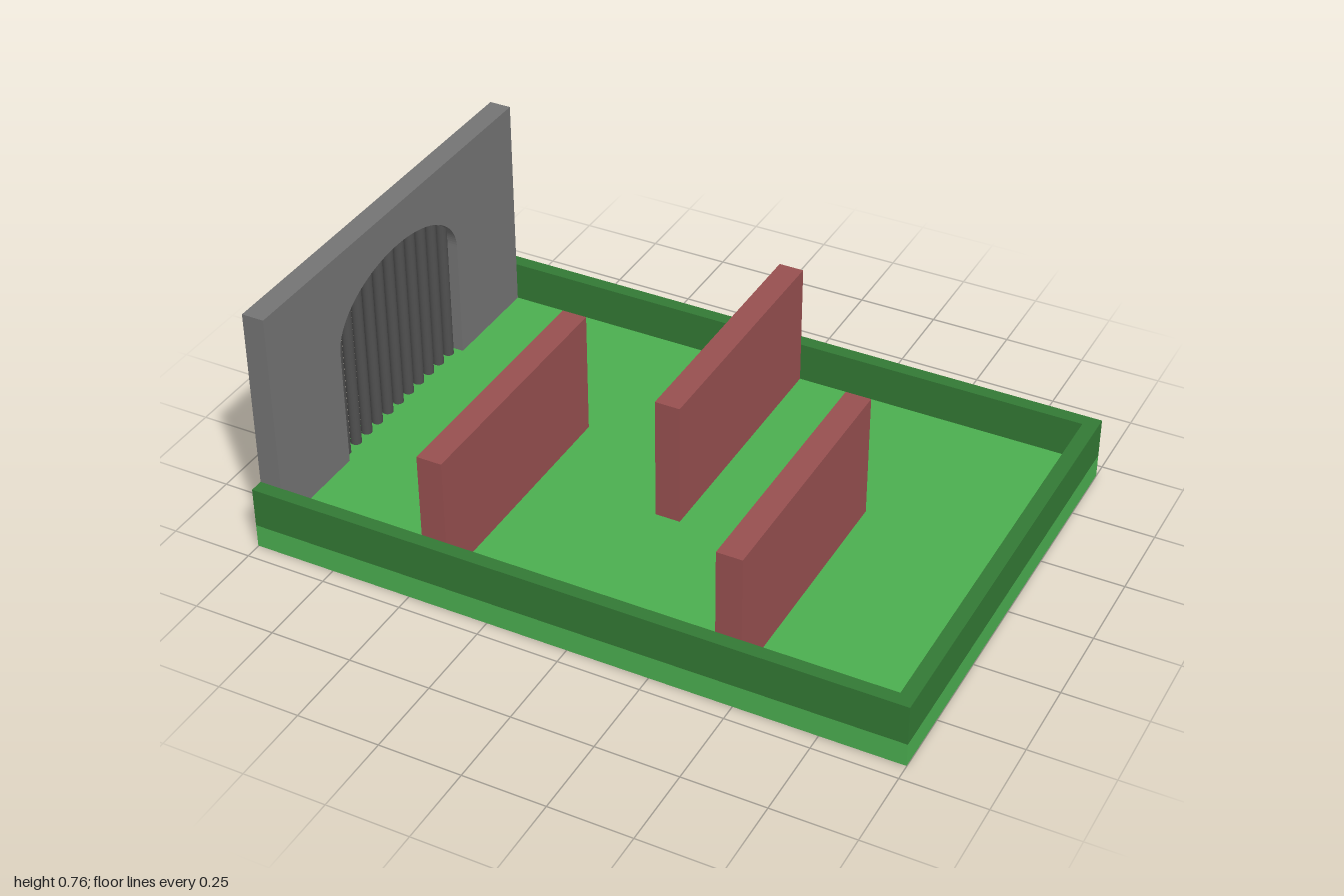
import * as THREE from 'three';

const mat = (color) => new THREE.MeshStandardMaterial({ color });

export function createModel() {
  const model = new THREE.Group();
  const grass = mat(0x4caf50), hedge = mat(0x337a35), brick = mat(0x985050);
  const stone = mat(0x757575), iron = mat(0x505050);

  // Box given by its lower and upper corners
  const box = (name, material, [x0, y0, z0], [x1, y1, z1]) => {
    const mesh = new THREE.Mesh(new THREE.BoxGeometry(x1 - x0, y1 - y0, z1 - z0), material);
    mesh.position.set((x0 + x1) / 2, (y0 + y1) / 2, (z0 + z1) / 2);
    mesh.name = name;
    model.add(mesh);
  };

  const floorY = 0.075, railTop = 0.2, halfZ = 0.7, innerZ = 0.658;

  // Base slab with an inset plate underneath
  box('floorSlab', grass, [-1, 0.002, -halfZ], [1, floorY, halfZ]);
  box('bottomPlate', hedge, [-0.957, 0, -innerZ], [0.957, 0.02, innerZ]);

  // Low border on three sides
  box('backRail', hedge, [-1, floorY, -halfZ], [1, railTop, -innerZ]);
  box('frontRail', hedge, [-1, floorY, innerZ], [1, railTop, halfZ]);
  box('endRail', hedge, [0.955, floorY, -innerZ], [1, railTop, innerZ]);

  // Staggered barrier walls
  for (const [x, z0, z1] of [[-0.47, -0.145, innerZ], [-0.02, -innerZ, 0.14], [0.428, -0.145, innerZ]]) {
    box('barrierWall', brick, [x, floorY, z0], [x + 0.077, 0.465, z1]);
  }

  // Gate wall with an arched opening reaching the floor
  const gateTop = 0.763, gateDepth = 0.068, archR = 0.32, spring = 0.45, rise = 0.185;
  const outline = new THREE.Shape();
  outline.moveTo(-innerZ, floorY);
  outline.lineTo(-archR, floorY);
  outline.lineTo(-archR, spring);
  outline.absellipse(0, spring, archR, rise, Math.PI, 0, true);
  outline.lineTo(archR, floorY);
  outline.lineTo(innerZ, floorY);
  outline.lineTo(innerZ, gateTop);
  outline.lineTo(-innerZ, gateTop);
  const gate = new THREE.Mesh(
    new THREE.ExtrudeGeometry(outline, { depth: gateDepth, bevelEnabled: false, curveSegments: 32 }), stone);
  gate.rotation.y = Math.PI / 2;
  gate.position.x = -1;
  gate.name = 'gateWall';
  model.add(gate);

  // Round bars, each reaching just into the arch
  const bars = new THREE.Group();
  bars.name = 'gateBars';
  for (let i = -5; i <= 5; i++) {
    const z = i * 0.058;
    const top = spring + rise * Math.sqrt(1 - (z / archR) ** 2) + 0.015;
    const bar = new THREE.Mesh(new THREE.CylinderGeometry(0.017, 0.017, top - floorY, 16), iron);
    bar.position.set(-1 + gateDepth / 2, (top + floorY) / 2, z);
    bar.name = 'gateBar';
    bars.add(bar);
  }
  model.add(bars);

  return model;
}
